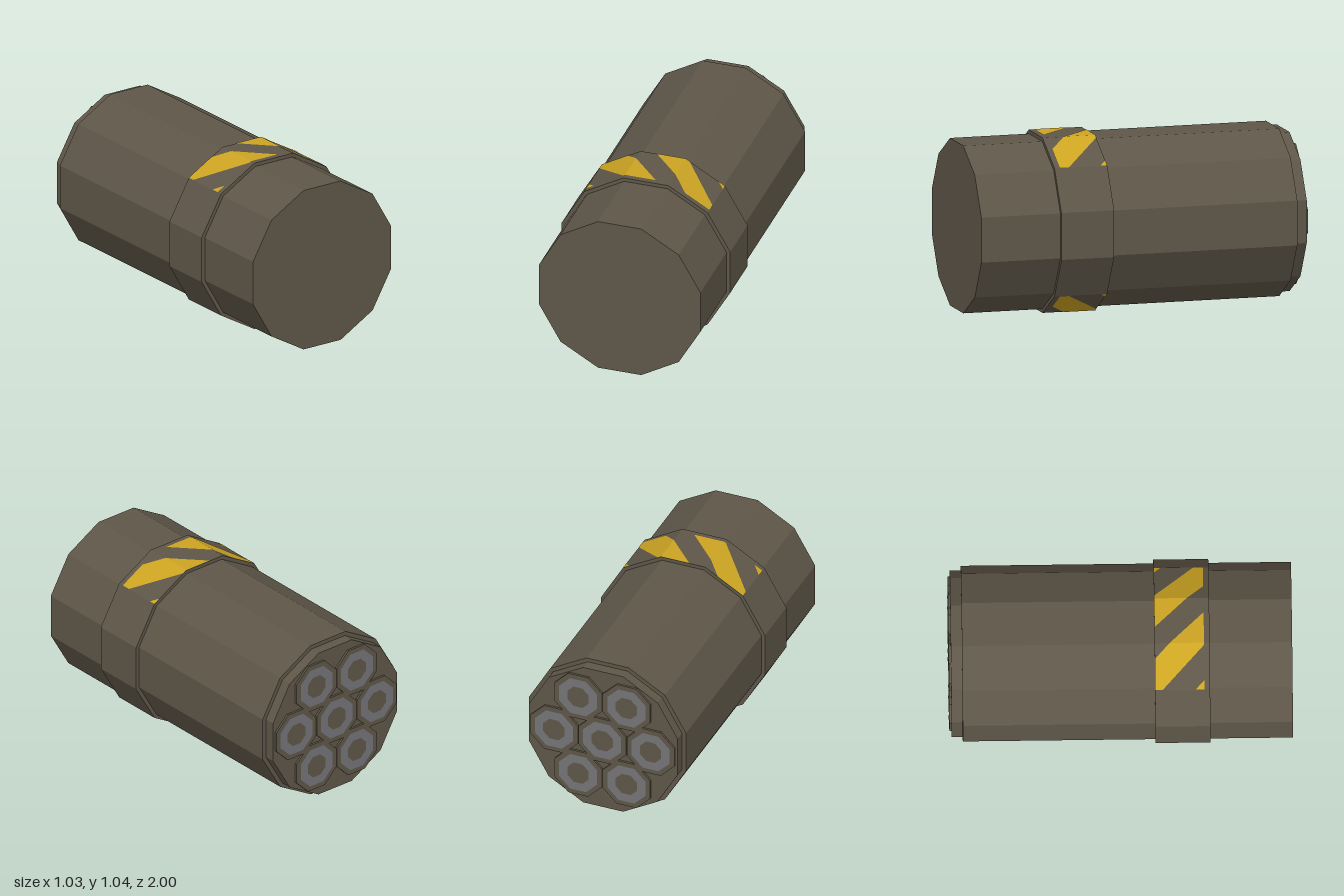
import * as THREE from 'three';

const CY = 0.517;             // height of the long axis
const C15 = Math.cos(Math.PI / 12);
const BAND = 0.517;           // band apothem
const FLAT = BAND * Math.tan(Math.PI / 12);   // half width of one band facet
const EDGE = 0.378;           // outer limit of the painted facets
const Z0 = 0.2, Z1 = 0.487;   // painted length

function mat(name, color, side = THREE.FrontSide) {
  const m = new THREE.MeshStandardMaterial({ color, flatShading: true, side });
  m.name = name;
  return m;
}

// prism along z, given by its apothem, with flats facing the axes
function prism(name, apothem, sides, zBack, zFront, material, x = 0, y = CY) {
  const r = apothem / Math.cos(Math.PI / sides);
  const g = new THREE.CylinderGeometry(r, r, zFront - zBack, sides, 1, false, Math.PI / sides);
  g.rotateX(Math.PI / 2);
  const m = new THREE.Mesh(g, material);
  m.name = name;
  m.position.set(x, y, (zBack + zFront) / 2);
  return m;
}

// keep the part of a convex polygon of [x, z] points where s * (x - limit) >= 0
function clipX(poly, limit, s) {
  const out = [];
  poly.forEach((p, i) => {
    const q = poly[(i + 1) % poly.length];
    const a = s * (p[0] - limit), b = s * (q[0] - limit);
    if (a >= 0) out.push(p);
    if (a * b < 0) {
      const t = a / (a - b);
      out.push([limit, p[1] + (q[1] - p[1]) * t]);
    }
  });
  return out;
}

// height of the band surface above the axis
const bandHeight = x => BAND + 0.002 - Math.max(0, Math.abs(x) - FLAT) * Math.tan(Math.PI / 6);

// slanted stripes laid over three neighbouring facets, above or below
function stripes(sign) {
  const pos = [];
  const shift = 0.27;   // sideways slant over the painted length
  for (let start = -0.8; start < 0.4; start += 0.38) {
    const strip = [[start, Z0], [start + shift, Z1], [start + shift + 0.2, Z1], [start + 0.2, Z0]];
    for (const [a, b] of [[-EDGE, -FLAT], [-FLAT, FLAT], [FLAT, EDGE]]) {
      const p = clipX(clipX(strip, a, 1), b, -1);
      for (let i = 1; i + 1 < p.length; i++) {
        const tri = sign > 0 ? [p[0], p[i], p[i + 1]] : [p[0], p[i + 1], p[i]];
        for (const [x, z] of tri) pos.push(x, CY + sign * bandHeight(x), z);
      }
    }
  }
  const g = new THREE.BufferGeometry();
  g.setAttribute('position', new THREE.Float32BufferAttribute(pos, 3));
  g.computeVertexNormals();
  return g;
}

export function createModel() {
  const brown = mat('casingBrown', 0x5e5648);
  const yellow = mat('stripeYellow', 0xcca422);
  const grey = mat('ringGrey', 0x747478);
  const model = new THREE.Group();
  model.name = 'canister';

  // twelve-sided casing, raised band and stepped back plate
  model.add(prism('casing', 0.495, 12, -0.92, 1, brown));
  model.add(prism('band', BAND, 12, 0.2, 0.52, brown));
  model.add(prism('backPlate', 0.47, 12, -0.985, -0.92, brown));

  // warning stripes on top and underneath
  for (const sign of [1, -1]) {
    const m = new THREE.Mesh(stripes(sign), yellow);
    m.name = sign > 0 ? 'topStripes' : 'bottomStripes';
    model.add(m);
  }

  // seven tubes: one in the middle, six around it
  for (let i = 0; i < 7; i++) {
    const r = i ? 0.305 : 0, a = i * Math.PI / 3;
    const x = r * Math.cos(a), y = CY + r * Math.sin(a);
    const tube = new THREE.Group();
    tube.name = 'tube' + i;
    tube.add(prism('tubeEnd', 0.15, 8, -0.998, -0.98, brown, x, y));
    const ring = new THREE.Mesh(new THREE.RingGeometry(0.073, 0.13, 8, 1, Math.PI / 8), grey);
    ring.name = 'tubeRing';
    ring.rotation.y = Math.PI;
    ring.position.set(x, y, -1);
    tube.add(ring);
    model.add(tube);
  }
  return model;
}
